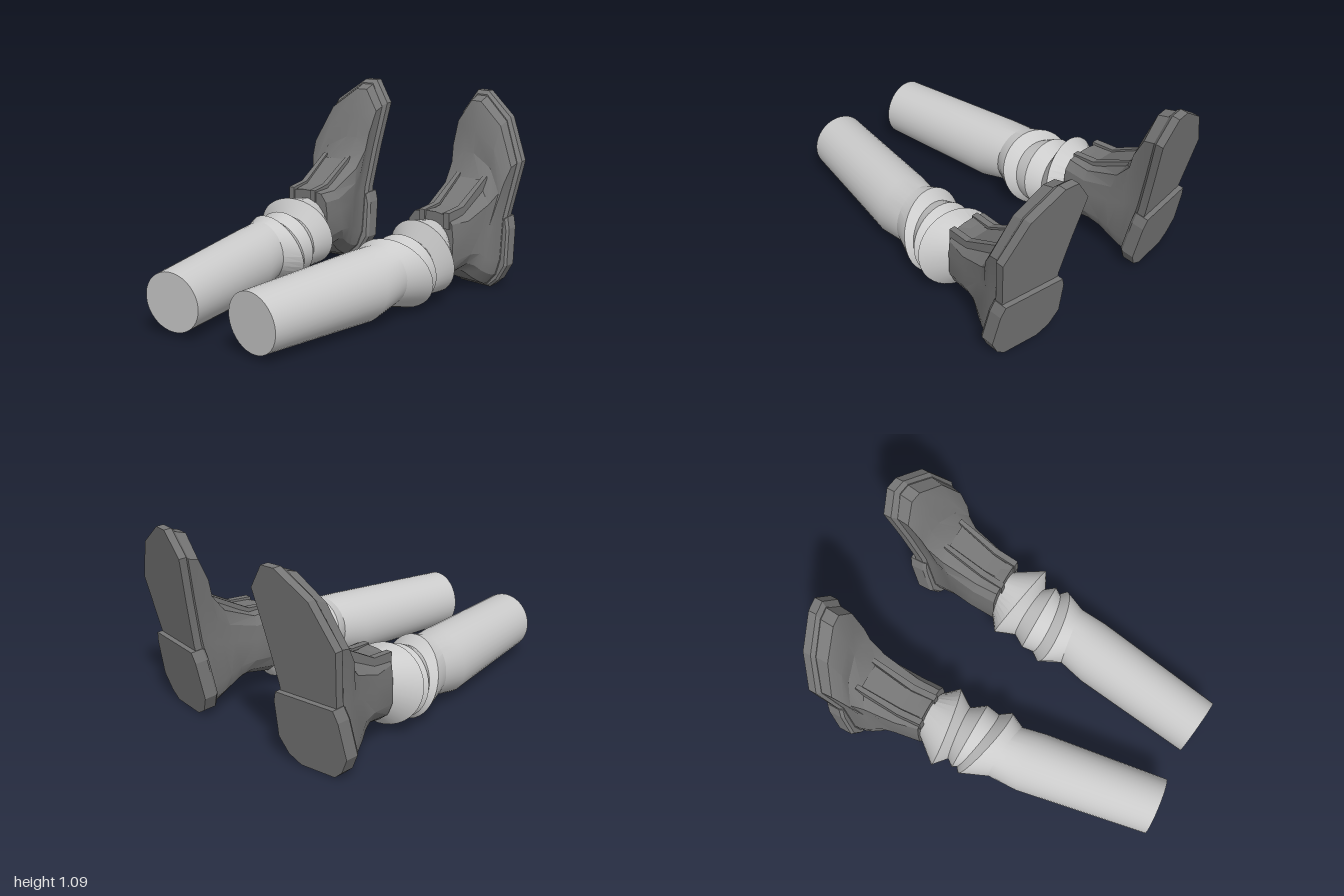
import * as THREE from 'three';
import { toCreasedNormals } from 'three/addons/utils/BufferGeometryUtils.js';

const skin = new THREE.MeshStandardMaterial({ color: 0xcccccc });
const leather = new THREE.MeshStandardMaterial({ color: 0x777777 });
const lerp = THREE.MathUtils.lerp;

// Closed skin through rings of [x, y, z] points, ordered front to back; side -1 mirrors it
function loft(name, rings, side, material, crease) {
  const n = rings[0].length, pos = [];
  const tri = (a, b, c) => {
    for (const p of side > 0 ? [a, b, c] : [a, c, b]) pos.push(p[0] * side, p[1], p[2]);
  };
  const centre = (r) => [0, 1, 2].map((k) => r.reduce((s, p) => s + p[k], 0) / n);
  const first = rings[0], last = rings[rings.length - 1];
  const c0 = centre(first), c1 = centre(last);
  for (let j = 0; j < n; j++) {
    const k = (j + 1) % n;
    tri(c0, first[j], first[k]);
    tri(c1, last[k], last[j]);
    for (let i = 0; i < rings.length - 1; i++) {
      const a = rings[i], b = rings[i + 1];
      tri(a[j], b[j], b[k]);
      tri(a[j], b[k], a[k]);
    }
  }
  const geo = new THREE.BufferGeometry();
  geo.setAttribute('position', new THREE.Float32BufferAttribute(pos, 3));
  const mesh = new THREE.Mesh(toCreasedNormals(geo, crease), material);
  mesh.name = name;
  return mesh;
}

// Tilted elliptical rings of the leg: x0, x1, y0, y1, z at bottom, z at top, sideways tilt
const legRings = [
  [0.10, 0.42, 0.03, 0.355, 0.955, 0.985, 0.018],
  [0.195, 0.55, 0.02, 0.40, 0.27, 0.24, -0.01],
  [0.23, 0.558, 0.065, 0.405, 0.09, 0.11, -0.02],
  [0.18, 0.62, 0.01, 0.425, -0.105, 0.045, -0.04],
  [0.22, 0.59, 0.035, 0.385, -0.13, -0.02, -0.025],
  [0.21, 0.61, 0.035, 0.42, -0.155, -0.09, 0],
  [0.262, 0.575, 0.05, 0.38, -0.20, -0.17, 0.015],
  [0.205, 0.66, 0.055, 0.475, -0.31, -0.21, 0.04],
  [0.30, 0.555, 0.13, 0.45, -0.37, -0.36, 0.01],
  [0.33, 0.53, 0.16, 0.42, -0.42, -0.42, 0],
];
function ellipse([x0, x1, y0, y1, zb, zt, tilt]) {
  return Array.from({ length: 36 }, (_, i) => {
    const a = (i / 36) * Math.PI * 2, c = Math.cos(a), s = Math.sin(a);
    return [(x0 + x1) / 2 + (x1 - x0) / 2 * c, (y0 + y1) / 2 + (y1 - y0) / 2 * s,
      (zb + zt) / 2 + (zt - zb) / 2 * s + tilt * c];
  });
}

// Outlines of the sole and the heel, and the ankle opening as a unit shape
const sole = [[0.40, 0.005], [0.60, 0.005], [0.655, 0.07], [0.675, 0.16], [0.66, 0.40], [0.713, 0.727],
  [0.60, 0.96], [0.43, 1.09], [0.355, 1.09], [0.267, 0.955], [0.30, 0.70], [0.325, 0.44], [0.31, 0.16], [0.335, 0.07]];
const heel = [[0.40, 0.005], [0.605, 0.005], [0.655, 0.05], [0.70, 0.14], [0.685, 0.345],
  [0.665, 0.41], [0.32, 0.41], [0.30, 0.35], [0.285, 0.14], [0.33, 0.05]];
const ankle = [[0.3, 0], [0.7, 0], [0.9, 0.12], [1, 0.3], [1, 0.65], [0.97, 0.85], [0.85, 0.97],
  [0.62, 1], [0.38, 1], [0.15, 0.97], [0.03, 0.85], [0, 0.65], [0, 0.3], [0.1, 0.12]];

// Tilted plane of the sole's underside
const planeZ = (x, y) => -0.995 + 0.13 * (x - 0.27) - 0.193 * (y - 0.95);

// Outline laid on the sole plane, shrunk by an inset and lifted forward
function plate(outline, inset, lift) {
  const xs = outline.map((p) => p[0]), ys = outline.map((p) => p[1]);
  const x0 = Math.min(...xs), x1 = Math.max(...xs), y0 = Math.min(...ys), y1 = Math.max(...ys);
  return outline.map(([px, py]) => {
    const x = lerp(x0 + inset, x1 - inset, (px - x0) / (x1 - x0));
    const y = lerp(y0 + inset, y1 - inset, (py - y0) / (y1 - y0));
    return [x, y, planeZ(x, y) + lift];
  });
}

// Boot sections: x0, x1, y0, y1, z at heel, z at toe, share of the sole shape
const bootRings = [
  [0.28, 0.57, 0.11, 0.50, -0.355, -0.35, 0],
  [0.28, 0.60, 0.145, 0.50, -0.52, -0.475, 0.1],
  [0.285, 0.625, 0.12, 0.62, -0.56, -0.69, 0.45],
  [0.29, 0.65, 0.08, 0.755, -0.61, -0.775, 0.75],
  [0.29, 0.67, 0.05, 0.88, -0.66, -0.795, 0.9],
  [0.288, 0.685, 0.03, 1.04, -0.70, -0.86, 1],
  [0.287, 0.693, 0.025, 1.07, -0.74, -0.95, 1],
];
function bootSection([x0, x1, y0, y1, zb, zt, share]) {
  return ankle.map(([au, av], i) => {
    const u = lerp(au, (sole[i][0] - 0.267) / 0.446, share);
    const v = lerp(av, (sole[i][1] - 0.005) / 1.085, share);
    const x = lerp(x0, x1, u);
    return [x, lerp(y0, y1, v), lerp(zb, zt, v) + 0.13 * (x - 0.45) * share];
  });
}

// Strip along the instep from collar to vamp; entries are x0, x1, y, z, depth
const strip = (rows) => rows.map(([x0, x1, y, z, d]) =>
  [[x0, y - d, z], [x1, y - d, z], [x1, y, z], [x0, y, z]]);

function buildLeg(side) {
  const group = new THREE.Group();
  group.name = side > 0 ? 'leftLeg' : 'rightLeg';
  const add = (...args) => group.add(loft(...args));
  add('shinAndCuffs', legRings.map(ellipse), side, skin, 0.3);
  add('bootUpper', bootRings.map(bootSection), side, leather, 0.45);
  add('sole', [plate(sole, 0.02, 0.065), plate(sole, 0, 0.045), plate(sole, 0, 0)], side, leather, 0.2);
  add('heel', [plate(heel, 0.012, 0.062), plate(heel, 0, 0.045), plate(heel, 0, -0.03)], side, leather, 0.2);
  // Tongue panel and the ridges beside it
  add('tongue', strip([[0.41, 0.51, 0.495, -0.36, 0.06], [0.41, 0.52, 0.508, -0.475, 0.06],
    [0.405, 0.54, 0.63, -0.69, 0.08]]), side, leather, 0.2);
  for (const [a, b, c] of [[0.36, 0.37, 0.375], [0.515, 0.525, 0.545]])
    add('tongueRidge', strip([[a, a + 0.035, 0.505, -0.34, 0.09], [b, b + 0.035, 0.518, -0.475, 0.09],
      [c, c + 0.025, 0.65, -0.71, 0.09]]), side, leather, 0.2);
  return group;
}

export function createModel() {
  const model = new THREE.Group();
  model.name = 'bootedLegs';
  model.add(buildLeg(1), buildLeg(-1));
  return model;
}
